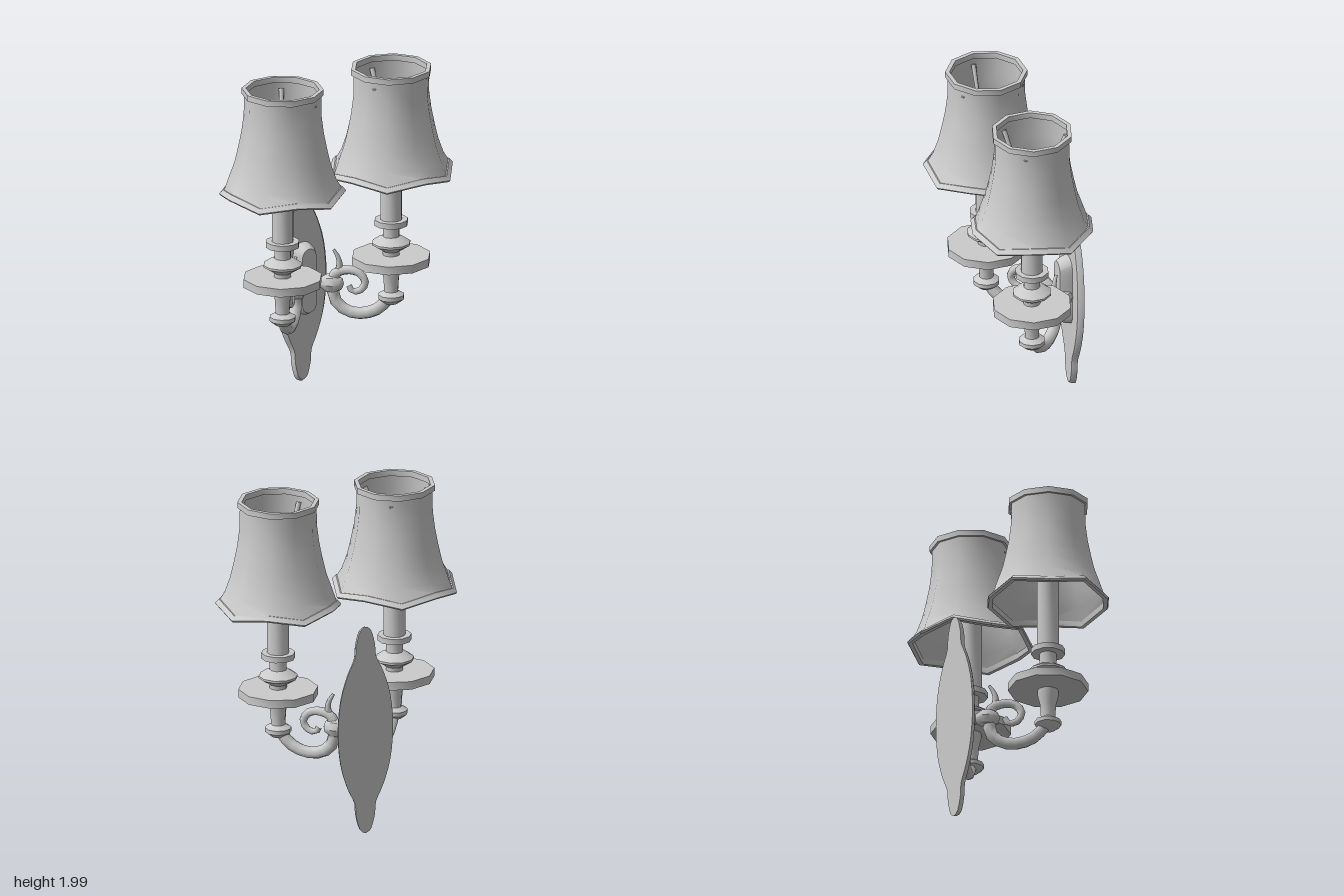
import * as THREE from 'three';
import { toCreasedNormals } from 'three/addons/utils/BufferGeometryUtils.js';

const V2 = (p) => new THREE.Vector2(p[0], p[1]);
const material = new THREE.MeshStandardMaterial({ color: 0xcccccc });
const thin = new THREE.MeshStandardMaterial({ color: 0xcccccc, side: THREE.DoubleSide });

function add(parent, name, geometry, mat = material) {
  const mesh = new THREE.Mesh(geometry, mat);
  mesh.name = name;
  parent.add(mesh);
  return mesh;
}

// Turned part from [radius, height] pairs, listed bottom to top
function turned(profile, sides = 10) {
  return toCreasedNormals(new THREE.LatheGeometry(profile.map(V2), sides), 0.7);
}

// Ten-sided shade part whose lower rim alternates low and high corners
function scalloped(profile) {
  const geo = new THREE.LatheGeometry(profile.map(V2), 10);
  const pos = geo.attributes.position;
  const rows = profile.length;
  for (let i = 0; i < pos.count; i++) {
    const column = Math.floor(i / rows);
    const y = pos.getY(i);
    if (y < 1.42) pos.setY(i, y + (column % 2 ? 0.019 : -0.019));
  }
  return toCreasedNormals(geo, 0.7);
}

// Tube in the diagonal plane of an arm, tapering from r0 to r1, with closed ends
function armTube(points, side, r0, r1, steps) {
  const curve = new THREE.CatmullRomCurve3(
    points.map(([x, y]) => new THREE.Vector3(side * x, y, x - 0.36)));
  const radial = 8;
  const geo = new THREE.TubeGeometry(curve, steps, 1, radial, false);
  const pos = geo.attributes.position;
  const v = new THREE.Vector3();
  for (let i = 0; i < pos.count; i++) {
    const t = Math.floor(i / (radial + 1)) / steps;
    const c = curve.getPointAt(t);
    v.fromBufferAttribute(pos, i).sub(c).multiplyScalar(r0 + (r1 - r0) * t).add(c);
    pos.setXYZ(i, v.x, v.y, v.z);
  }
  return geo;
}

// Symmetric outline from right-hand points, extruded and narrowed toward the front
function slab(half, z, depth, sx, sy, cy) {
  const mirrored = half.slice(1, -1).reverse().map(([x, y]) => [-x, y]);
  const outline = new THREE.SplineCurve([...half, ...mirrored, half[0]].map(V2)).getPoints(72);
  outline.pop();
  const geo = new THREE.ExtrudeGeometry(new THREE.Shape(outline), { depth, bevelEnabled: false, steps: 2 });
  const pos = geo.attributes.position;
  for (let i = 0; i < pos.count; i++) {
    const t = (pos.getZ(i) / depth) ** 2;
    pos.setX(i, pos.getX(i) * (1 + (sx - 1) * t));
    pos.setY(i, cy + (pos.getY(i) - cy) * (1 + (sy - 1) * t));
  }
  geo.translate(0, 0, z);
  return toCreasedNormals(geo, 0.7);
}

function createLamp(side) {
  const lamp = new THREE.Group();
  lamp.name = side > 0 ? 'leftLamp' : 'rightLamp';
  lamp.position.set(side * 0.375, 0, 0.015);

  add(lamp, 'cup', turned([[0, 0.535], [0.04, 0.54], [0.078, 0.57], [0.078, 0.595], [0.042, 0.615],
    [0.047, 0.7], [0.062, 0.76], [0.062, 0.8]]));
  add(lamp, 'dripTray', turned([[0, 0.79], [0.235, 0.79], [0.235, 0.84], [0, 0.84]]));
  add(lamp, 'bead', turned([[0.05, 0.835], [0.052, 0.865], [0.075, 0.88], [0.115, 0.905],
    [0.115, 0.918], [0.075, 0.945], [0.05, 0.955], [0.05, 1.03]]));
  add(lamp, 'collar', turned([[0, 1.025], [0.1, 1.025], [0.1, 1.06], [0, 1.06]]));
  add(lamp, 'candle', turned([[0.065, 1.05], [0.065, 1.5], [0.045, 1.5], [0.045, 1.56],
    [0.02, 1.57], [0.022, 1.61], [0, 1.63]]));

  // Shade with trim and spider; its low corner points inward or backward
  const shade = new THREE.Group();
  shade.name = 'shade';
  shade.rotation.y = side > 0 ? Math.PI : Math.PI / 2;
  lamp.add(shade);
  add(shade, 'shadeWall', scalloped([[0.343, 1.385], [0.315, 1.45], [0.283, 1.54], [0.262, 1.63],
    [0.242, 1.73], [0.228, 1.84], [0.226, 1.975]]), thin);
  add(shade, 'bottomTrim', scalloped([[0.336, 1.385], [0.34, 1.352], [0.365, 1.352], [0.372, 1.362],
    [0.35, 1.387], [0.336, 1.385]]), thin);
  add(shade, 'topTrim', turned([[0.215, 1.965], [0.241, 1.965], [0.241, 2], [0.215, 2], [0.215, 1.965]]), thin);

  // Three tapered spokes carrying the shade
  const first = side > 0 ? -Math.PI / 2 : Math.PI;
  for (let i = 0; i < 3; i++) {
    const a = first + (i * Math.PI * 2) / 3;
    const dir = new THREE.Vector3(Math.cos(a), 0, Math.sin(a));
    const inner = dir.clone().multiplyScalar(0.035).setY(1.54);
    const outer = dir.clone().multiplyScalar(0.21).setY(1.93);
    const along = outer.clone().sub(inner);
    const spoke = add(lamp, 'spoke', new THREE.CylinderGeometry(0.015, 0.006, along.length(), 6));
    spoke.position.copy(inner).add(outer).multiplyScalar(0.5);
    spoke.quaternion.setFromUnitVectors(new THREE.Vector3(0, 1, 0), along.normalize());
  }
  return lamp;
}

function createArm(side) {
  const arm = new THREE.Group();
  arm.name = side > 0 ? 'leftArm' : 'rightArm';

  add(arm, 'mainArm', armTube([[0.13, 0.63], [0.135, 0.54], [0.18, 0.478], [0.25, 0.463],
    [0.32, 0.5], [0.365, 0.57]], side, 0.038, 0.036, 9));
  add(arm, 'scroll', armTube([[0.12, 0.64], [0.14, 0.7], [0.19, 0.725], [0.24, 0.71], [0.265, 0.655],
    [0.245, 0.605], [0.21, 0.595], [0.195, 0.63]], side, 0.032, 0.018, 14));
  add(arm, 'curl', armTube([[0.13, 0.66], [0.155, 0.73], [0.152, 0.79], [0.13, 0.845]], side, 0.03, 0.009, 8));

  // Turned knob joining the arm to the wall plate
  const k = Math.SQRT2;
  const knob = add(arm, 'knob', turned([[0, 0], [0.035, 0.005 * k], [0.052, 0.03 * k], [0.045, 0.045 * k],
    [0.03, 0.065 * k], [0.058, 0.095 * k], [0.06, 0.125 * k], [0.035, 0.155 * k], [0, 0.165 * k]], 8));
  knob.position.set(side * 0.01, 0.635, -0.35);
  knob.quaternion.setFromUnitVectors(new THREE.Vector3(0, 1, 0), new THREE.Vector3(side, 0, 1).normalize());
  return arm;
}

export function createModel() {
  const model = new THREE.Group();
  model.name = 'wallLamp';

  add(model, 'wallPlate', slab([[0, 0.01], [0.035, 0.035], [0.06, 0.12], [0.068, 0.2], [0.115, 0.3],
    [0.16, 0.45], [0.178, 0.65], [0.16, 0.85], [0.115, 1], [0.068, 1.1], [0.06, 1.18], [0.035, 1.265],
    [0, 1.29]], -0.39, 0.035, 0.88, 0.975, 0.65));
  add(model, 'plateBoss', slab([[0, 0.43], [0.05, 0.45], [0.07, 0.5], [0.07, 0.655], [0.07, 0.81],
    [0.05, 0.86], [0, 0.88]], -0.36, 0.075, 0.7, 0.88, 0.655));

  for (const side of [1, -1]) {
    model.add(createLamp(side), createArm(side));
  }
  return model;
}
